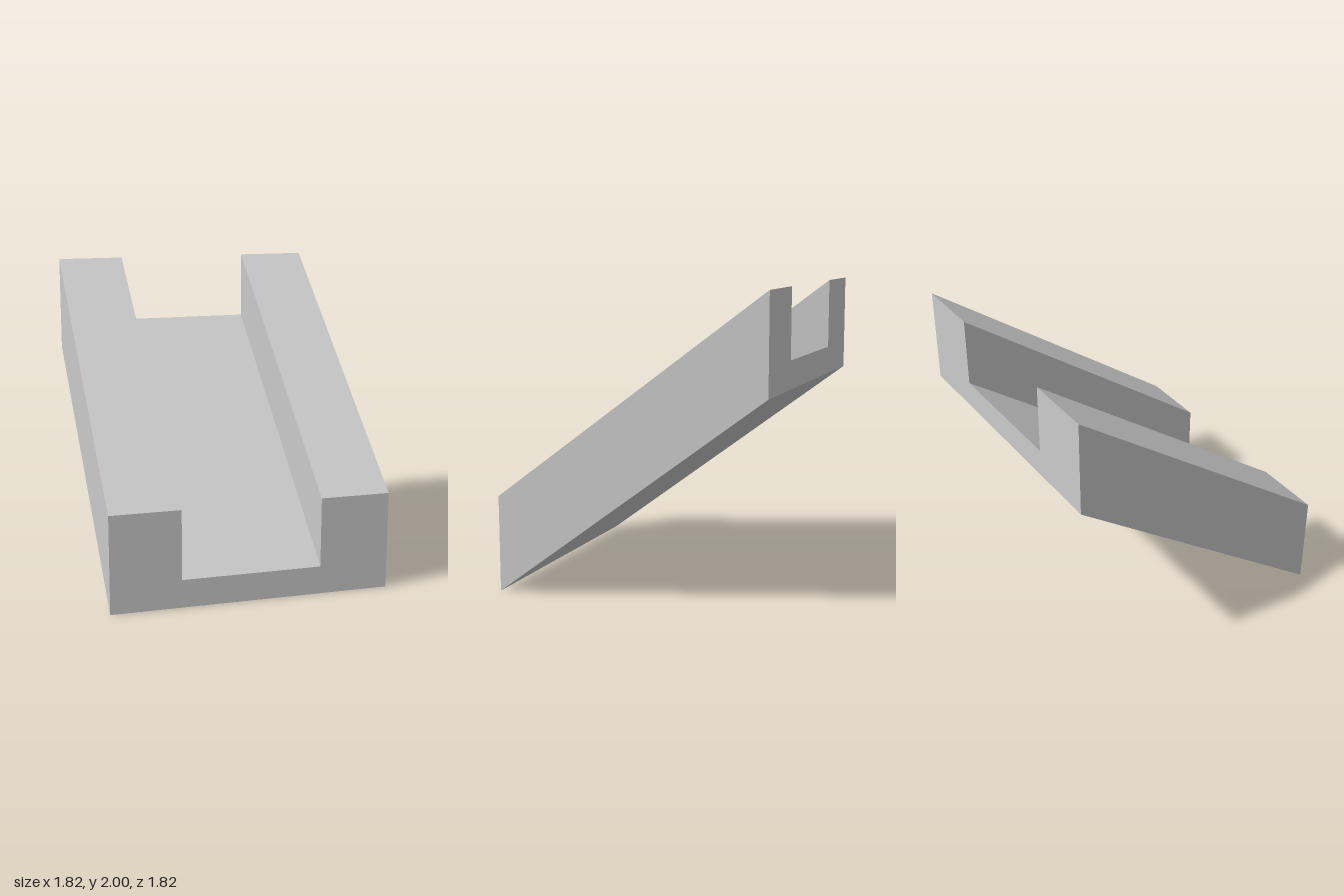
import * as THREE from 'three';

export function createModel() {
  const group = new THREE.Group();
  const half = 0.909, inner = 0.4545, height = 0.636, floor = 0.182, rise = 1.364;

  // U-shaped channel section, extruded from back to front
  const section = new THREE.Shape([
    [-half, 0], [half, 0], [half, height], [inner, height],
    [inner, floor], [-inner, floor], [-inner, height], [-half, height],
  ].map(([x, y]) => new THREE.Vector2(x, y)));
  const geometry = new THREE.ExtrudeGeometry(section, { depth: 2 * half, bevelEnabled: false });
  geometry.translate(0, 0, -half);

  // Shear upward towards the back, keeping the end faces vertical
  const pos = geometry.attributes.position;
  for (let i = 0; i < pos.count; i++) {
    pos.setY(i, pos.getY(i) + rise * (half - pos.getZ(i)) / (2 * half));
  }
  geometry.computeVertexNormals();

  const ramp = new THREE.Mesh(
    geometry,
    new THREE.MeshStandardMaterial({ color: 0xcccccc, flatShading: true }),
  );
  ramp.name = 'slopedChannel';
  group.add(ramp);
  return group;
}
